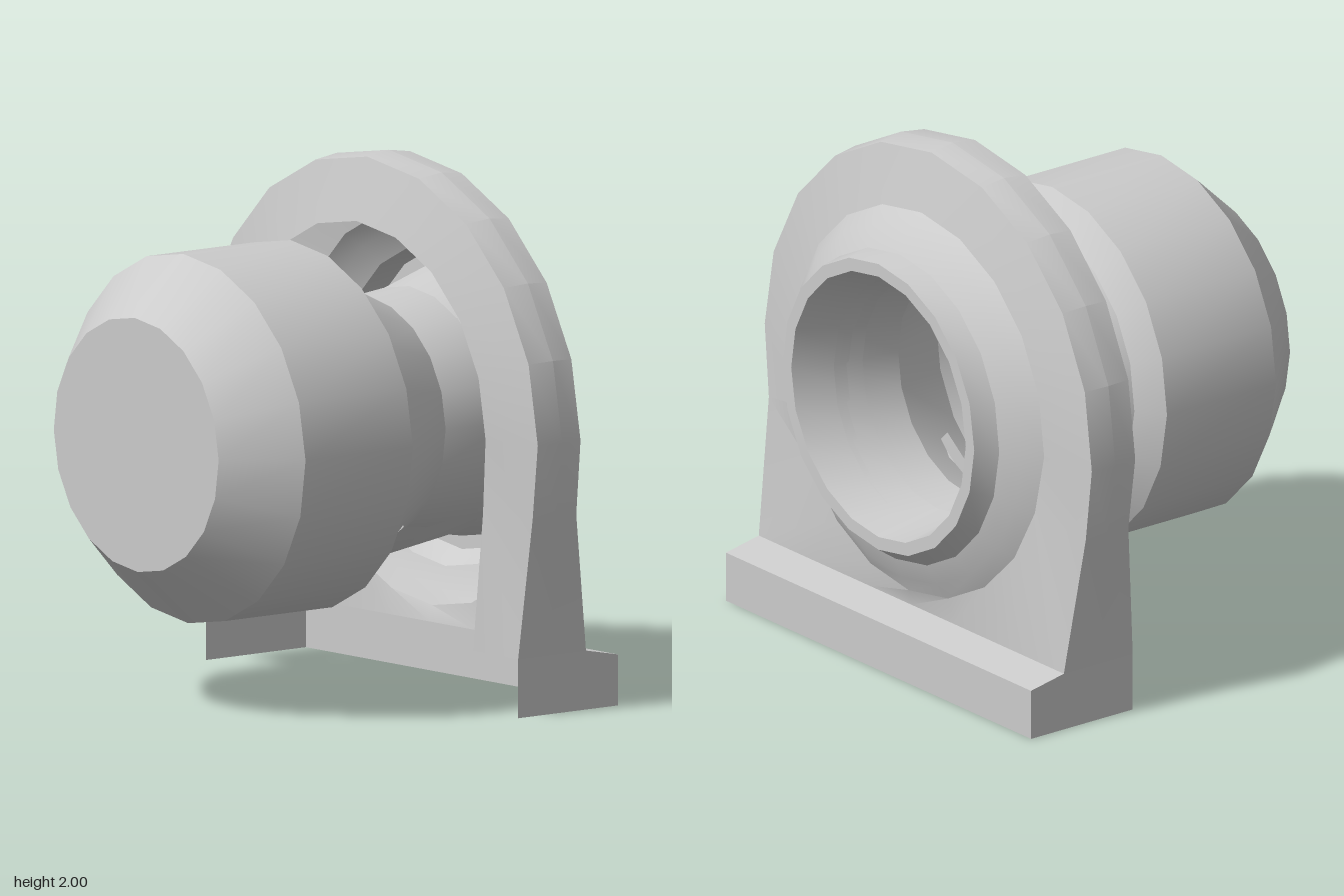
import * as THREE from 'three';
import { toCreasedNormals } from 'three/addons/utils/BufferGeometryUtils.js';

const SIDES = 20, CY = 1.02, LEAN = 0.016;
const CREASE = THREE.MathUtils.degToRad(24);
const material = new THREE.MeshStandardMaterial({ color: 0xcccccc, side: THREE.DoubleSide });

function addMesh(group, name, geometry) {
  const mesh = new THREE.Mesh(toCreasedNormals(geometry, CREASE), material);
  mesh.name = name;
  group.add(mesh);
}

// Surface through rows of [x, y, z] points; rows have equal length
function loft(rows, closed = false) {
  const n = rows[0].length, index = [];
  for (let i = 0; i < rows.length - 1; i++) {
    for (let j = 0; j < (closed ? n : n - 1); j++) {
      const k = (j + 1) % n;
      const a = i * n + j, b = i * n + k, c = a + n, d = b + n;
      index.push(a, c, b, b, c, d);
    }
  }
  const geometry = new THREE.BufferGeometry();
  geometry.setAttribute('position', new THREE.Float32BufferAttribute(rows.flat(2), 3));
  geometry.setIndex(index);
  geometry.computeVertexNormals();
  return geometry;
}

// The whole machine leans very slightly forward with height
const lean = (z, y) => z + LEAN * (y - CY);

function circlePoint(k, r, z, cy = CY) {
  const a = (k / SIDES) * Math.PI * 2;
  const y = cy + r * Math.sin(a);
  return [r * Math.cos(a), y, lean(z, y)];
}

// Turned part along z from [radius, z] pairs
function turned(profile, start = 0, length = Math.PI * 2, sides = SIDES) {
  const geometry = new THREE.LatheGeometry(
    profile.map(([r, z]) => new THREE.Vector2(r, z)), sides, start, length);
  geometry.rotateX(Math.PI / 2).translate(0, CY, 0);
  const p = geometry.attributes.position;
  for (let i = 0; i < p.count; i++) p.setZ(i, lean(p.getZ(i), p.getY(i)));
  return geometry;
}

// Arch outline from the right foot (k = -2) over the top to the left foot (k = 12)
function archRow(r, z, kneeX, footX, footZ) {
  const row = [];
  for (let k = -2; k <= 12; k++) {
    const s = k <= 5 ? 1 : -1;
    if (k === -2 || k === 12) row.push([s * footX, 0.22, footZ]);
    else if (k === -1 || k === 11) row.push([s * kneeX, 0.74, lean(z, 0.74)]);
    else row.push(circlePoint(k, r, z));
  }
  return row;
}

// Ring on the back; bulge pushes its lower half backwards
function ringRow(r, z, bulge = 0, cy = CY) {
  return Array.from({ length: SIDES }, (_, i) => {
    const k = i - 2;
    const p = circlePoint(k, r, z, cy);
    p[2] -= bulge * Math.max(0, -Math.sin((k / SIDES) * Math.PI * 2));
    return p;
  });
}

export function createModel() {
  const group = new THREE.Group();

  // Motor drum with chamfered ends and a tapering hollow neck
  addMesh(group, 'motorDrum', turned([
    [0.47, -0.62], [0.44, -0.34], [0.585, -0.045], [0.69, 0.025],
    [0.69, 0.54], [0.475, 0.778], [0, 0.778],
  ]));

  // Curved saddle below the neck
  addMesh(group, 'neckSaddle', turned(
    [[0.48, -0.62], [0.525, -0.3], [0.51, -0.2], [0.45, -0.2]], -Math.PI / 4, Math.PI / 2, 5));

  // Arched rim: front flange and rounded outer edge
  const backEdge = archRow(0.965, -0.55, 0.935, 0.9, -0.63);
  addMesh(group, 'archRim', loft([
    archRow(0.73, -0.29, 0.71, 0.64, -0.305),
    archRow(0.965, -0.345, 0.93, 0.9, -0.305),
    archRow(0.98, -0.45, 0.94, 0.9, -0.46),
    backEdge,
  ]));

  // Back plate: arch outline closed along the foot, stepping in to the inlet
  const footEdge = [-0.6, -0.25, 0, 0.25, 0.6].map((x) => [x, 0.22, -0.63]);
  const atEnd = (row) => row.map(([x, y]) => [x, y, -0.785]);
  addMesh(group, 'backPlateAndInlet', loft([
    [...backEdge, ...footEdge],
    ringRow(0.74, -0.595, 0.035),
    ringRow(0.68, -0.65, 0.015),
    ringRow(0.6, -0.695),
    atEnd(ringRow(0.565, -0.785, 0, 1.04)),
    atEnd(ringRow(0.515, -0.785, 0, 1.04)),
    ringRow(0.45, -0.5),
  ], true));

  // Foot: sloped ledge and back strip, open underneath
  addMesh(group, 'footLedge', loft(
    [[0.22, -0.63], [0.19, -0.785], [0, -0.785]].map(([y, z]) => [[0.9, y, z], [-0.9, y, z]])));

  // End panels of the foot
  const outline = [[-0.305, 0], [-0.785, 0], [-0.785, 0.19], [-0.63, 0.22], [-0.305, 0.22]];
  for (const s of [1, -1]) {
    const shape = new THREE.Shape(outline.map(([z, y]) => new THREE.Vector2(-s * z, y)));
    const panel = new THREE.ShapeGeometry(shape).rotateY(s * Math.PI / 2).translate(s * 0.9, 0, 0);
    addMesh(group, s > 0 ? 'leftFootPanel' : 'rightFootPanel', panel);
  }

  return group;
}
